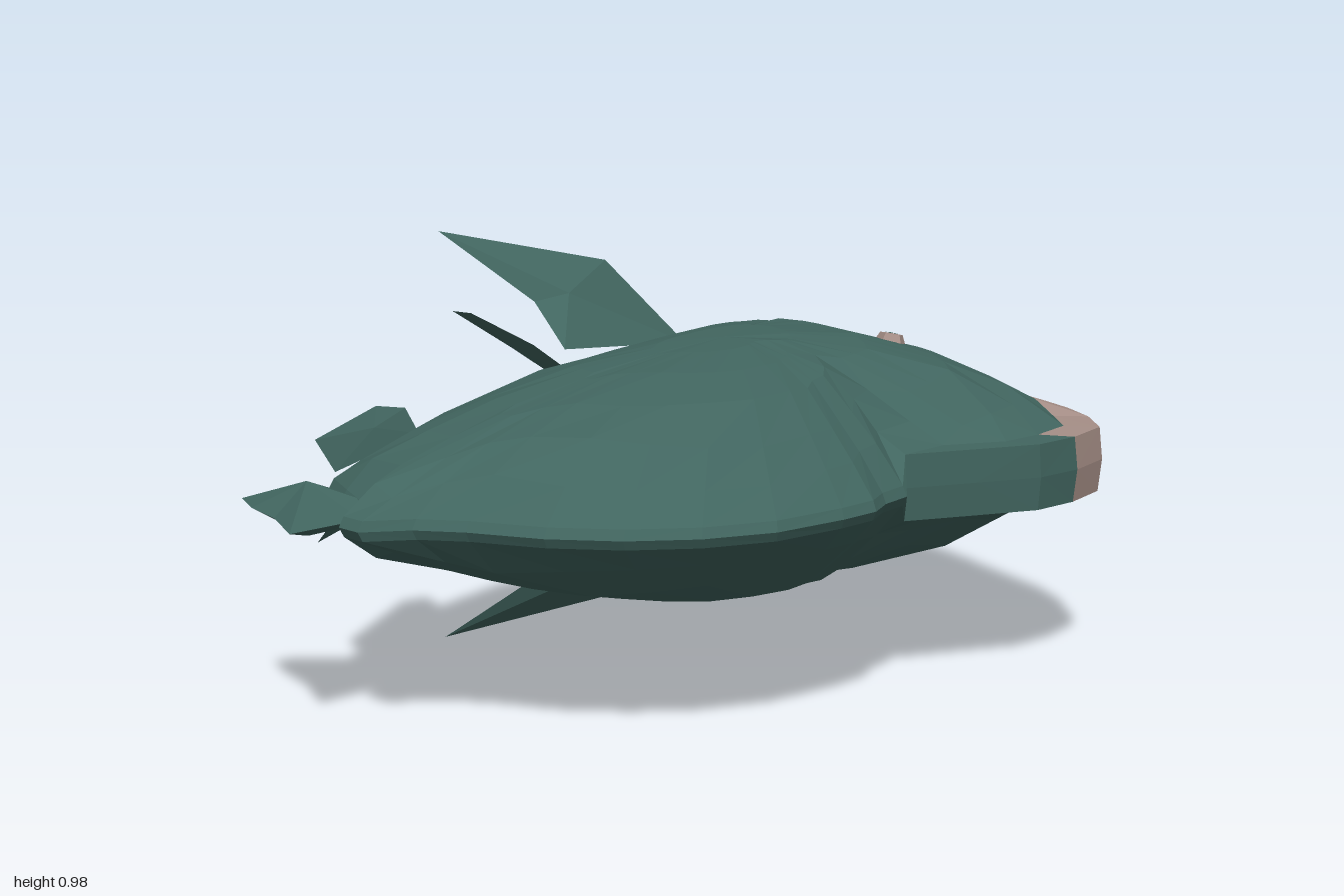
import * as THREE from 'three';

const material = (name, color) => {
  const m = new THREE.MeshStandardMaterial({ color, flatShading: true });
  m.name = name;
  return m;
};

// Piecewise linear lookup in a list of [key, value]
const lookup = (table, k) => {
  if (k <= table[0][0]) return table[0][1];
  for (let i = 1; i < table.length; i++) {
    const [a, va] = table[i - 1], [b, vb] = table[i];
    if (k <= b) return va + (vb - va) * (k - a) / (b - a);
  }
  return table[table.length - 1][1];
};

// Side outline of the body (x, z), starting at the middle of the face
const OUTLINE = [
  [.975, 0], [.955, .13], [.945, .22], [.93, .32], [.9, .42], [.84, .52], [.72, .565],
  [.6, .575], [.45, .53], [.29, .48], [.24, .54], [.16, .565], [.1, .605], [0, .62],
  [-.18, .625], [-.34, .58], [-.48, .5], [-.6, .39], [-.7, .25], [-.78, .17], [-.88, .12],
  [-.89, .06], [-.81, .03], [-.8, -.1], [-.77, -.21], [-.6, -.36], [-.4, -.46],
  [-.2, -.53], [0, -.56], [.12, -.585], [.3, -.585], [.5, -.58], [.62, -.56],
  [.72, -.545], [.8, -.52], [.88, -.48], [.92, -.43], [.87, -.4], [.96, -.37],
  [.97, -.29], [.99, -.2], [.985, -.1],
];
const CENTRE_X = .15;

// Half thickness along the length, and how it falls off across the height
const THICKNESS = [[-.9, .04], [-.8, .08], [-.7, .11], [-.46, .19], [-.2, .245], [0, .27],
  [.22, .282], [.4, .282], [.55, .25], [.7, .2], [.85, .12], [.93, .08], [1, .065]];
const FALLOFF = [[0, 0], [.07, .37], [.23, .8], [.4, 1], [.6, 1], [.77, .85], [.92, .36], [1, 0]];

function halfThickness(x, z) {
  let lo = 9, hi = -9;
  OUTLINE.forEach(([ax, az], i) => {
    const [bx, bz] = OUTLINE[(i + 1) % OUTLINE.length];
    if ((ax - x) * (bx - x) > 0 || ax === bx) return;
    const c = az + (bz - az) * (x - ax) / (bx - ax);
    lo = Math.min(lo, c);
    hi = Math.max(hi, c);
  });
  return lookup(THICKNESS, x) * lookup(FALLOFF, hi > lo ? (z - lo) / (hi - lo) : .5);
}

// Rim shape at an outline point: bevel depth, half width and width of the band inside it
function rim([x, z]) {
  if (x > .7) return [.008, z < -.4 ? .09 : .075, z > .25 ? .09 : z < -.25 ? .065 : .035];
  if (z > 0) return x > .28 ? [.005, .075, .08] : [.012, .022, .09];
  return x > -.3 ? [.035, .085, .09] : [.02, .035, .08];
}

const meshOf = (name, positions, mat) => {
  const g = new THREE.BufferGeometry();
  g.setAttribute('position', new THREE.Float32BufferAttribute(positions, 3));
  g.computeVertexNormals();
  const m = new THREE.Mesh(g, mat);
  m.name = name;
  return m;
};

// Body: rings running inward from the outline, mirrored to both flanks
function buildBody(skin, face, mouth) {
  const tris = { skin: [], face: [], mouth: [] };
  const inset = ([x, z], d) => {
    const k = 1 - d / Math.hypot(x - CENTRE_X, z);
    return [CENTRE_X + (x - CENTRE_X) * k, z * k];
  };
  const rings = [[], [], []];
  OUTLINE.forEach((p) => {
    const [d, e, w] = rim(p);
    const b = inset(p, d), c = inset(p, w);
    rings[0].push([p[0], 0, p[1]]);
    rings[1].push([b[0], e, b[1]]);
    rings[2].push([c[0], Math.max(e * 1.03, halfThickness(...c)), c[1]]);
  });
  for (const k of [.85, .66, .42, .2]) {
    rings.push(rings[2].map(([x, , z]) => {
      const px = CENTRE_X + (x - CENTRE_X) * k, pz = z * k;
      return [px, Math.max(.05, halfThickness(px, pz)), pz];
    }));
  }
  const hub = [CENTRE_X, .28, 0];
  const add = (list, a, b, c) => {
    list.push(...a, ...b, ...c);
    for (const [x, y, z] of [a, c, b]) list.push(x, -y, z);
  };
  const n = OUTLINE.length;
  for (let i = 0; i < n; i++) {
    const j = (i + 1) % n, p = OUTLINE[i], q = OUTLINE[j];
    const isMouth = [p, q].every(([x, z]) => x > .85 && z > -.41 && z < -.28);
    const isFace = p[0] > .7 && q[0] > .7;
    for (let r = 0; r < rings.length - 1; r++) {
      const list = tris[r < 2 && isMouth ? 'mouth' : r < 2 && isFace ? 'face' : 'skin'];
      const o = rings[r], c = rings[r + 1];
      add(list, c[i], o[j], o[i]);
      add(list, c[i], c[j], o[j]);
    }
    const last = rings[rings.length - 1];
    add(tris.skin, hub, last[j], last[i]);
  }
  const body = new THREE.Group();
  body.name = 'body';
  body.add(meshOf('flanks', tris.skin, skin), meshOf('faceBand', tris.face, face),
    meshOf('mouth', tris.mouth, mouth));
  return body;
}

// Fin: a lens-shaped blade around a loop of corner points
function buildFin(name, corners, thick, mat, side = 1) {
  const pts = corners.map(([x, y, z]) => new THREE.Vector3(x, y * side, z));
  const mid = new THREE.Vector3(), normal = new THREE.Vector3();
  pts.forEach((p, i) => {
    mid.addScaledVector(p, 1 / pts.length);
    normal.add(p.clone().cross(pts[(i + 1) % pts.length]));
  });
  normal.normalize();
  const a = mid.clone().addScaledVector(normal, thick);
  const b = mid.clone().addScaledVector(normal, -thick);
  const out = [];
  pts.forEach((p, i) => {
    const q = pts[(i + 1) % pts.length];
    for (const v of [a, p, q, b, q, p]) out.push(v.x, v.y, v.z);
  });
  return meshOf(name, out, mat);
}

export function createModel() {
  const skin = material('teal skin', 0x41655f);
  const face = material('dusty pink', 0xa68f87);
  const mouth = material('olive mouth', 0x757160);
  skin.side = THREE.DoubleSide;

  const fish = new THREE.Group();
  fish.name = 'fish';
  fish.position.y = .49;
  fish.add(buildBody(skin, face, mouth));

  // Tail
  fish.add(buildFin('tailFin', [[-.72, 0, -.17], [-.78, 0, -.21], [-.87, 0, -.285], [-.93, 0, -.29],
    [-.955, 0, -.2], [-.96, 0, -.09], [-1, 0, .05], [-.82, 0, .03], [-.72, 0, .04]], .06, skin));

  // Paired fins and eyes
  const pectoral = [[.26, .21, -.3], [.1, .41, -.4], [-.26, .49, -.56], [-.1, .33, -.4], [-.11, .24, -.26]];
  const pelvic = [[.12, .1, -.54], [.08, .1, -.575], [-.1, .25, -.63], [-.2, .29, -.6],
    [-.18, .29, -.55], [-.02, .2, -.53]];
  const anal = [[-.4, .05, -.43], [-.4, .1, -.49], [-.48, .115, -.485], [-.77, .115, -.25], [-.75, .05, -.2]];
  for (const side of [1, -1]) {
    const label = side > 0 ? 'upper' : 'lower';
    fish.add(buildFin(label + 'PectoralFin', pectoral, .018, skin, side));
    fish.add(buildFin(label + 'PelvicFin', pelvic, .015, skin, side));
    fish.add(buildFin(label + 'AnalFin', anal, .012, skin, side));

    const eye = new THREE.Group();
    eye.name = label + 'Eye';
    const ball = new THREE.Mesh(new THREE.CylinderGeometry(.028, .052, .05, 5), face);
    ball.name = 'eyeball';
    const star = new THREE.Shape();
    for (let i = 0; i < 10; i++) {
      const r = i % 2 ? .009 : .023, t = i * Math.PI / 5;
      star[i ? 'lineTo' : 'moveTo'](r * Math.cos(t), r * Math.sin(t));
    }
    const pupil = new THREE.Mesh(new THREE.ShapeGeometry(star), skin);
    pupil.name = 'pupil';
    pupil.rotation.x = -Math.PI / 2;
    pupil.position.y = .027;
    eye.add(ball, pupil);
    eye.position.set(.57, side * .23, .085);
    eye.rotation.set(side < 0 ? Math.PI : 0, 0, side * -.2);
    fish.add(eye);
  }

  const model = new THREE.Group();
  model.name = 'model';
  model.add(fish);
  return model;
}
